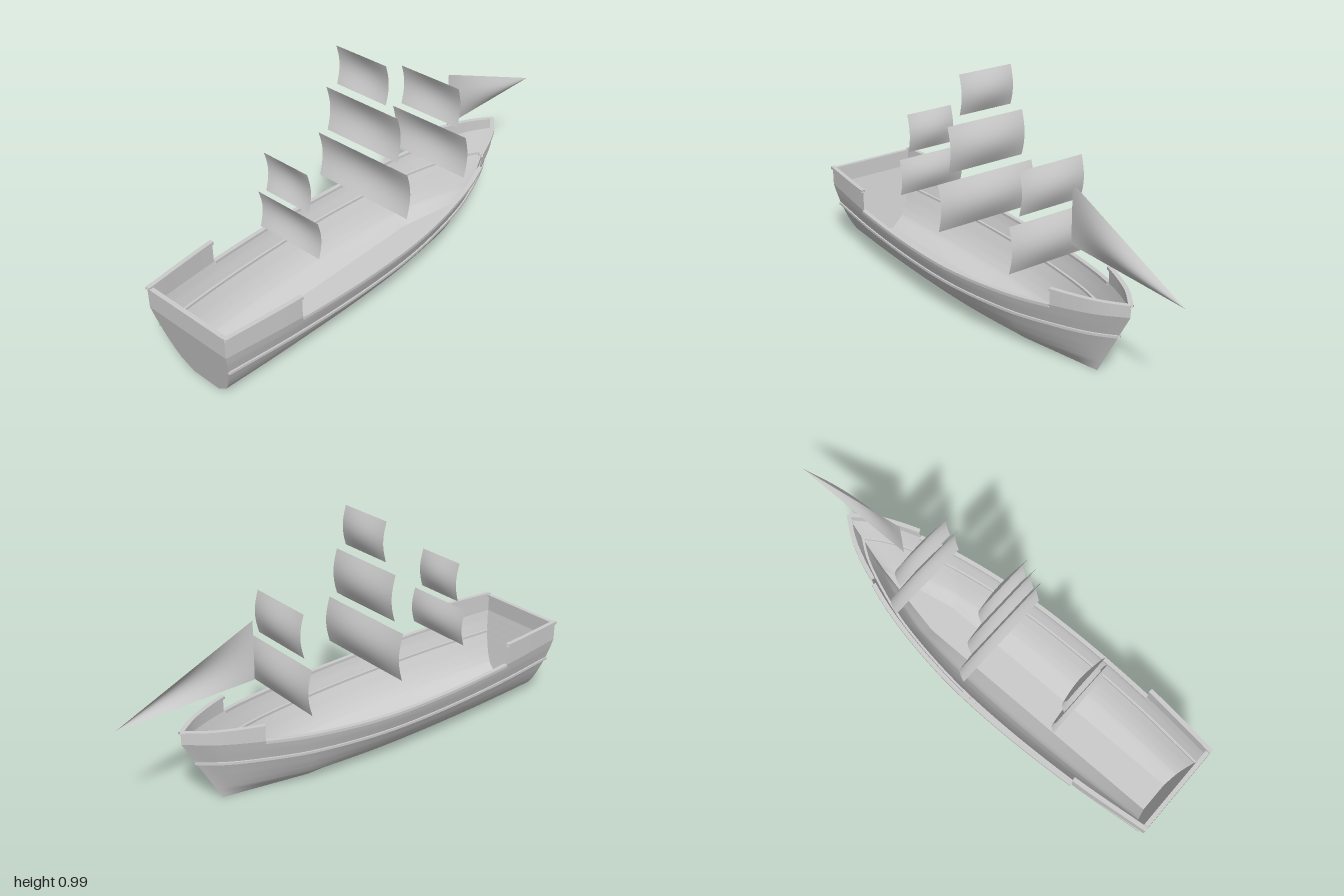
import * as THREE from 'three';
import { ParametricGeometry } from 'three/addons/geometries/ParametricGeometry.js';
import { mergeGeometries } from 'three/addons/utils/BufferGeometryUtils.js';

const grey = new THREE.MeshStandardMaterial({ name: 'plain grey', color: 0xcccccc, side: THREE.DoubleSide });
const V = (x, y, z) => new THREE.Vector3(x, y, z);

// Top edge of one hull side, from stern (+z) to bow (-z)
const sheer = new THREE.CatmullRomCurve3([
  V(0.2, 0.268, 1), V(0.235, 0.257, 0.67), V(0.25, 0.247, 0.3), V(0.239, 0.245, 0),
  V(0.193, 0.257, -0.3), V(0.142, 0.271, -0.48), V(0.07, 0.283, -0.65), V(0, 0.29, -0.75),
]);
const STERN_END = 1 / 7, BOW_START = 5 / 7;

// Hull flare: height fraction -> width fraction
const levels = [0, 0.16, 0.28, 0.42, 0.64, 0.85, 1];
const widths = [0, 0.405, 0.55, 0.68, 0.84, 0.945, 1];
function flare(v) {
  let i = 0;
  while (i < levels.length - 2 && v > levels[i + 1]) i++;
  return THREE.MathUtils.mapLinear(v, levels[i], levels[i + 1], widths[i], widths[i + 1]);
}

// Point on the hull side: u from stern to bow, v from keel to sheer
function hullPoint(u, v) {
  const p = sheer.getPoint(u);
  const s = (1 - p.z) / 1.75;
  const bottom = 0.068 * THREE.MathUtils.clamp((1 - s) / 0.23, 0, 1);
  const keelZ = 0.94 - 1.53 * s;
  return V(bottom + (p.x - bottom) * flare(v), p.y * v, THREE.MathUtils.lerp(keelZ, p.z, v));
}

// Smooth surface from a point rule
function surface(rule, nu, nv) {
  const g = new ParametricGeometry((u, v, target) => target.copy(rule(u, v)), nu, nv);
  g.computeVertexNormals();
  return g;
}

// Square-edged moulding swept along a path
function moulding(path, u0, u1, w, h, n = 40) {
  const corners = [[-1, -1], [1, -1], [1, 1], [-1, 1], [-1, -1]];
  const faces = [0, 1, 2, 3].map((k) => surface((u, v) => {
    const t = u0 + (u1 - u0) * u;
    const p = path(t);
    const d = path(Math.min(t + 0.005, 1)).sub(path(Math.max(t - 0.005, 0)));
    const len = Math.hypot(d.x, d.z);
    const a = THREE.MathUtils.lerp(corners[k][0], corners[k + 1][0], v) * w / 2;
    const b = THREE.MathUtils.lerp(corners[k][1], corners[k + 1][1], v) * h / 2;
    return V(p.x - (d.z / len) * a, p.y + b, p.z + (d.x / len) * a);
  }, n, 1));
  return mergeGeometries(faces);
}

export function createModel() {
  const ship = new THREE.Group();
  ship.name = 'sailingShip';
  const add = (name, geometry, parent = ship) => {
    const m = new THREE.Mesh(geometry, grey);
    m.name = name;
    parent.add(m);
    return m;
  };

  // Hull sides with raised ends, rails and wale, mirrored
  const sternTop = 0.35, bowTop = 0.335;
  const raised = (top) => (u) => { const p = sheer.getPoint(u); p.y = top; return p; };
  const bulwark = (u0, u1, top) => surface((u, v) => {
    const p = sheer.getPoint(u0 + (u1 - u0) * u);
    p.y = THREE.MathUtils.lerp(p.y, top, v);
    return p;
  }, 14, 1);
  for (const [side, sign] of [['left', 1], ['right', -1]]) {
    const half = new THREE.Group();
    half.name = side + 'HullSide';
    half.scale.x = sign;
    ship.add(half);
    add('planking', surface(hullPoint, 56, 25), half);
    add('sternBulwark', bulwark(0, STERN_END, sternTop), half);
    add('bowBulwark', bulwark(BOW_START, 1, bowTop), half);
    add('waistRail', moulding((u) => sheer.getPoint(u), STERN_END, BOW_START, 0.018, 0.012), half);
    add('sternRail', moulding(raised(sternTop), 0, STERN_END, 0.018, 0.012, 10), half);
    add('bowRail', moulding(raised(bowTop), BOW_START, 1, 0.018, 0.012, 16), half);
    add('wale', moulding((u) => hullPoint(u, 0.66), 0, 1, 0.016, 0.01), half);
  }

  // Flat bottom
  add('bottom', surface((u, v) => {
    const p = hullPoint(u, 0);
    p.x *= 2 * v - 1;
    return p;
  }, 56, 1));

  // Sloping transom and the upright board above it
  add('transom', surface((u, v) => {
    const p = hullPoint(0, v);
    p.x *= 2 * u - 1;
    return p;
  }, 2, 25));
  const board = add('transomBoard', new THREE.PlaneGeometry(0.4, sternTop - 0.268));
  board.position.set(0, (sternTop + 0.268) / 2, 1);
  const cap = add('transomRail', new THREE.BoxGeometry(0.38, 0.01, 0.018));
  cap.position.set(0, sternTop - 0.004, 0.99);

  // Square sails: name, half width, bottom, top, z of the straight edges
  const sails = [
    ['mizzenCourse', 0.152, 0.37, 0.527, 0.498], ['mizzenTopsail', 0.108, 0.552, 0.716, 0.498],
    ['mainCourse', 0.228, 0.367, 0.566, 0.1], ['mainTopsail', 0.178, 0.6, 0.79, 0.1],
    ['mainTopgallant', 0.121, 0.824, 0.985, 0.1],
    ['foreCourse', 0.19, 0.335, 0.525, -0.302], ['foreTopsail', 0.145, 0.555, 0.73, -0.302],
  ];
  for (const [name, w, y0, y1, z] of sails) {
    const depth = 0.17 * (y1 - y0);
    add(name, surface((u, v) => {
      const belly = Math.sin(Math.PI * v) * (0.55 + 0.45 * Math.sin(Math.PI * u));
      return V((2 * u - 1) * w, y0 + (y1 - y0) * v, z - depth * belly);
    }, 16, 12));
  }

  // Triangular jib, bellied to the ship's left
  add('jib', surface((u, v) => {
    const foot = THREE.MathUtils.lerp(0.45, 0.436, u);
    const luff = THREE.MathUtils.lerp(0.69, 0.436, u);
    const belly = 0.027 * Math.sin(Math.PI * u) * Math.sin(Math.PI * v);
    return V(belly, THREE.MathUtils.lerp(foot, luff, v), -0.425 - 0.575 * u);
  }, 16, 10));

  return ship;
}
